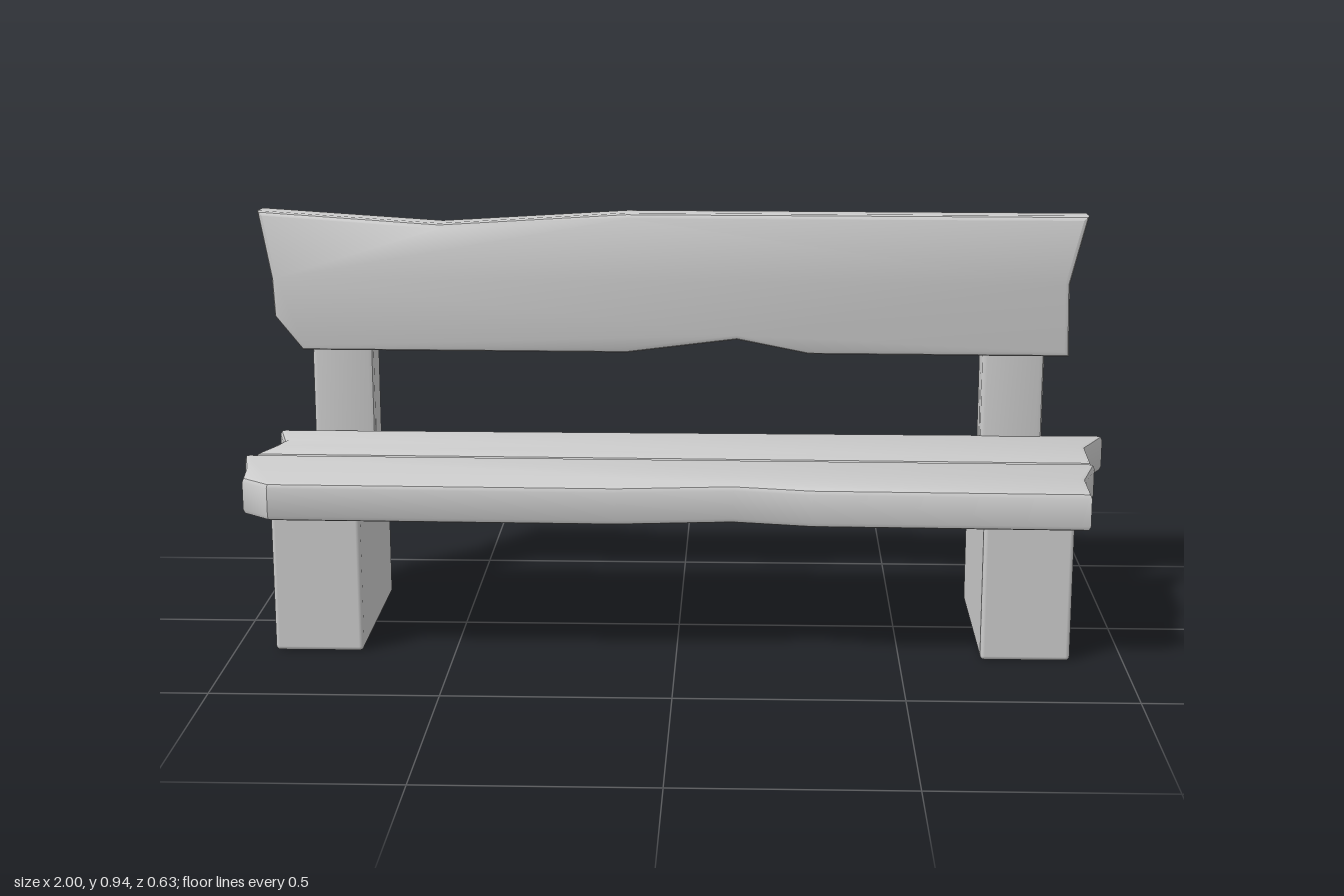
import * as THREE from 'three';
import { toCreasedNormals } from 'three/addons/utils/BufferGeometryUtils.js';
import { RoundedBoxGeometry } from 'three/addons/geometries/RoundedBoxGeometry.js';

const BEVEL = 0.012;

// Extrudes an outline to a full thickness with softened edges, from z = 0 to z = thickness.
function slab(points, thickness) {
  const shape = new THREE.Shape(points.map(([x, y]) => new THREE.Vector2(x, y)));
  const geo = new THREE.ExtrudeGeometry(shape, {
    depth: thickness - 2 * BEVEL,
    bevelThickness: BEVEL,
    bevelSize: BEVEL,
    bevelOffset: -BEVEL,
    bevelSegments: 2,
  });
  geo.translate(0, 0, BEVEL);
  return toCreasedNormals(geo, 0.6);
}

export function createModel() {
  const bench = new THREE.Group();
  bench.name = 'bench';
  const grey = new THREE.MeshStandardMaterial({ color: 0xcccccc });
  grey.name = 'plain grey';

  const add = (name, geometry, x = 0, y = 0, z = 0) => {
    const mesh = new THREE.Mesh(geometry, grey);
    mesh.name = name;
    mesh.position.set(x, y, z);
    bench.add(mesh);
    return mesh;
  };

  // Block legs and bent back posts; the right pair sits slightly further back
  const legGeo = new RoundedBoxGeometry(0.2, 0.325, 0.445, 2, 0.01);
  const postGeo = slab([
    [-0.195, 0.177], [-0.195, 0.89], [-0.296, 0.89], [-0.296, 0.267],
  ].reverse(), 0.145);
  postGeo.rotateY(-Math.PI / 2).translate(0.0725, 0, 0);
  for (const [side, x, dz] of [['left', 0.782, 0], ['right', -0.809, -0.02]]) {
    add(side + 'Leg', legGeo, x, 0.1625, 0.0125 + dz);
    add(side + 'BackPost', postGeo, x, 0, dz);
  }

  // Seat planks with natural edges, outlined as [x, z]
  const seatPlank = (name, outline) => {
    const geo = slab(outline.map(([x, z]) => [x, -z]), 0.087);
    geo.rotateX(-Math.PI / 2);
    add(name, geo, 0, 0.325, 0);
  };
  seatPlank('frontSeatPlank', [
    [-1, 0.03], [-0.975, 0.15], [-0.965, 0.235], [-0.9, 0.288], [-0.13, 0.3],
    [0.125, 0.275], [0.3, 0.306], [0.905, 0.317], [0.908, 0.19], [0.945, 0.057],
  ]);
  seatPlank('rearSeatPlank', [
    [-0.965, -0.212], [-0.937, -0.11], [-0.95, -0.06], [-0.977, 0.018],
    [0.94, 0.045], [0.945, -0.1], [1, -0.212],
  ]);

  // Backrest plank, leaning back and turned a little
  const backGeo = slab([
    [-1, 0.33], [-0.97, 0.17], [-0.965, 0.08], [-0.9, 0], [-0.13, 0], [0.13, 0.033],
    [0.3, 0], [0.908, 0], [0.905, 0.17], [0.945, 0.33], [-0.13, 0.33], [-0.57, 0.303],
  ], 0.087);
  backGeo.translate(0, 0, -0.087);
  const back = add('backrestPlank', backGeo, 0, 0.612, -0.172);
  back.rotation.set(-0.05, -0.0128, 0, 'YXZ');

  return bench;
}
